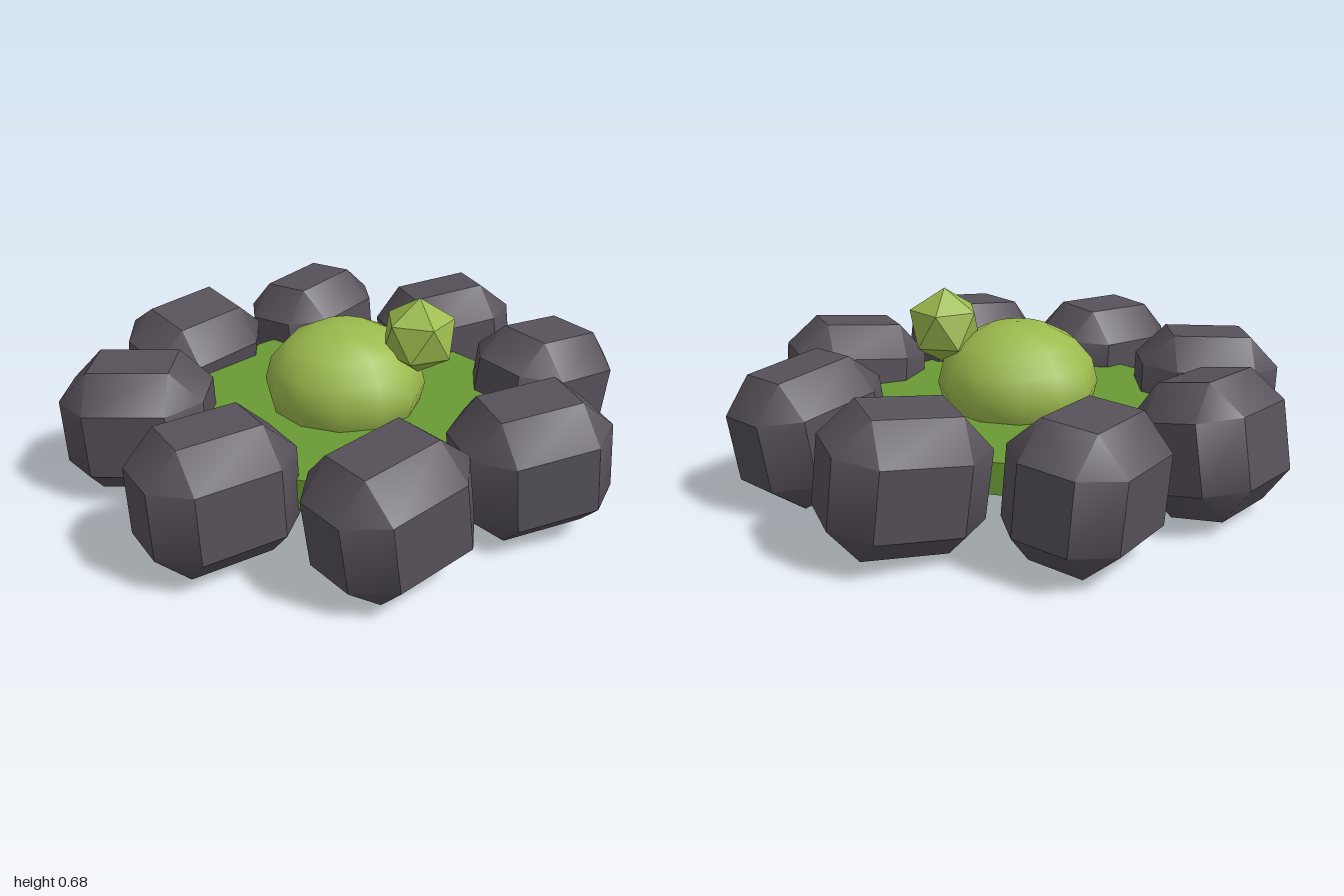
import * as THREE from 'three';
import { ConvexGeometry } from 'three/addons/geometries/ConvexGeometry.js';
import { toCreasedNormals } from 'three/addons/utils/BufferGeometryUtils.js';

// Box with a single 45 degree chamfer on every edge
function chamferedBox(w, h, d, c) {
  const points = [];
  for (const sx of [-1, 1]) for (const sy of [-1, 1]) for (const sz of [-1, 1]) {
    for (let axis = 0; axis < 3; axis++) {
      const inset = [c, c, c];
      inset[axis] = 0;
      points.push(new THREE.Vector3(
        sx * (w / 2 - inset[0]), sy * (h / 2 - inset[1]), sz * (d / 2 - inset[2])));
    }
  }
  // flat faces stay crisp, chamfers blend into the corners
  return toCreasedNormals(new ConvexGeometry(points), 0.7);
}

export function createModel() {
  const model = new THREE.Group();
  model.name = 'stoneRingGarden';

  const stoneMat = new THREE.MeshStandardMaterial({ color: 0x57515a });
  const grassMat = new THREE.MeshStandardMaterial({ color: 0x6a9a33 });
  const bushMat = new THREE.MeshStandardMaterial({ color: 0x9cba4d });
  const budMat = new THREE.MeshStandardMaterial({ color: 0x9cba4d, flatShading: true });

  const add = (name, geometry, material, x, y, z) => {
    const mesh = new THREE.Mesh(geometry, material);
    mesh.name = name;
    mesh.position.set(x, y, z);
    model.add(mesh);
    return mesh;
  };

  // Grass disc
  add('grassDisc', new THREE.CylinderGeometry(0.62, 0.62, 0.11, 12), grassMat, 0, 0.225, 0);

  // Flattened round bush in the middle, with a small faceted bud
  add('bush', new THREE.SphereGeometry(0.29, 12, 8), bushMat, 0, 0.35, 0).scale.y = 0.775;
  add('bud', new THREE.IcosahedronGeometry(0.14, 0), budMat, 0.245, 0.55, -0.1)
    .rotation.z = Math.atan(2 / (1 + Math.sqrt(5)));

  // Ring of stones: x, z, then turn, pitch and roll
  const stoneGeo = chamferedBox(0.41, 0.455, 0.505, 0.11);
  const stones = [
    [0, 0.73, -0.43, 0.03, 0.03],
    [0.52, 0.52, -0.32, 0.13, 0.02],
    [0.735, -0.005, -0.66, 0.1, -0.03],
    [0.52, -0.54, -0.27, -0.12, -0.05],
    [-0.005, -0.745, -0.65, 0.11, 0.05],
    [-0.525, -0.53, -0.08, 0.05, 0.06],
    [-0.74, -0.01, -0.18, 0.06, -0.2],
    [-0.53, 0.51, -1.04, 0.03, -0.03],
  ];
  stones.forEach(([x, z, turn, pitch, roll], i) => {
    const stone = add(`stone${i + 1}`, stoneGeo, stoneMat, x, 0.257, z);
    stone.rotation.set(pitch, turn, roll, 'YXZ');
  });

  return model;
}
